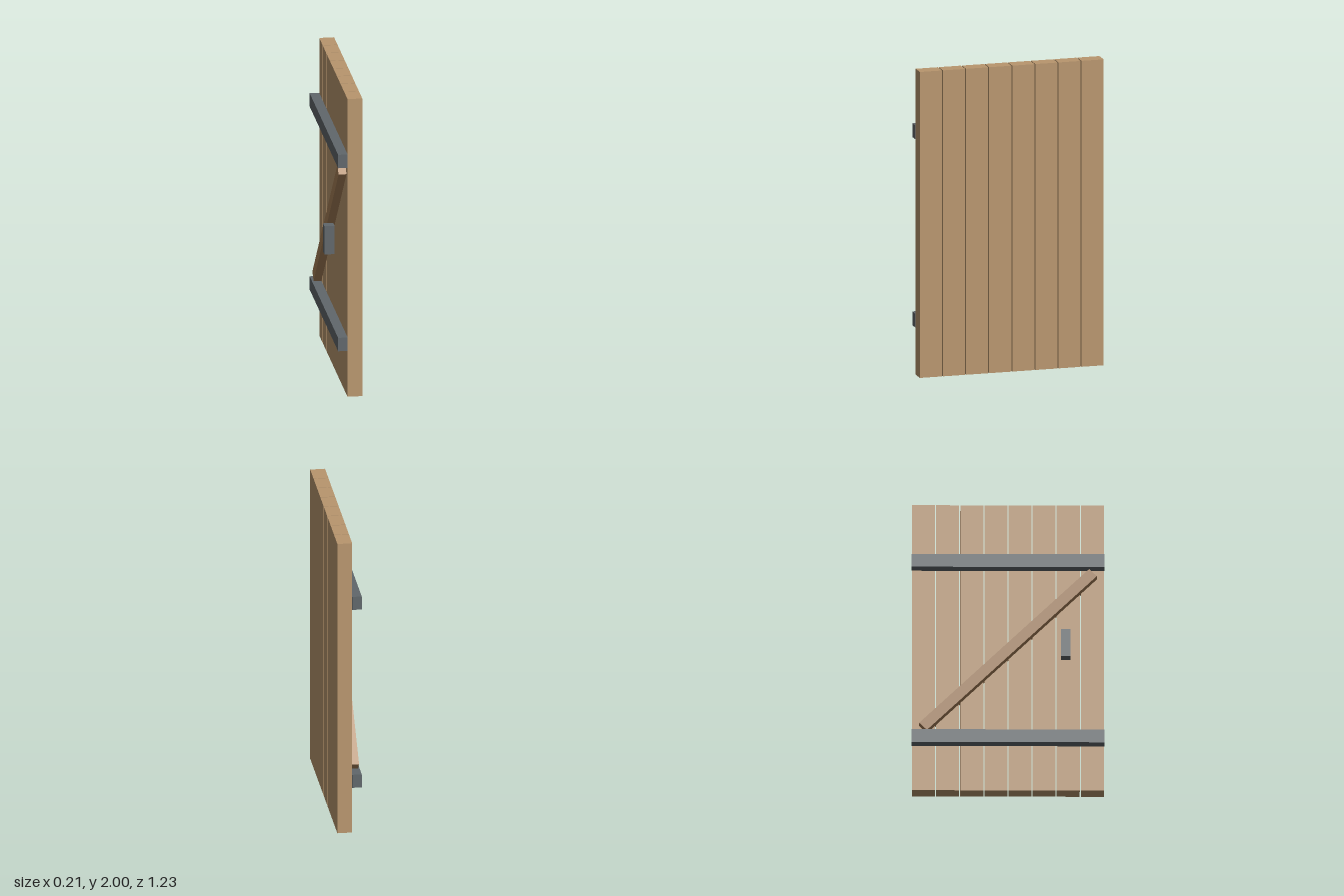
import * as THREE from 'three';

const wood = new THREE.MeshStandardMaterial({ color: 0xb8966e });
const braceWood = new THREE.MeshStandardMaterial({ color: 0xa67f57 });
const iron = new THREE.MeshStandardMaterial({ color: 0x60676b });

// Box given by its [min, max] range along each axis
function addBox(parent, name, material, [x0, x1], [y0, y1], [z0, z1]) {
  const mesh = new THREE.Mesh(new THREE.BoxGeometry(x1 - x0, y1 - y0, z1 - z0), material);
  mesh.position.set((x0 + x1) / 2, (y0 + y1) / 2, (z0 + z1) / 2);
  mesh.name = name;
  parent.add(mesh);
  return mesh;
}

export function createModel() {
  const door = new THREE.Group();
  door.name = 'plankDoor';

  // Eight upright planks with narrow gaps
  const planks = new THREE.Group();
  planks.name = 'planks';
  door.add(planks);
  const count = 8, pitch = 0.1533, halfWidth = 0.0733;
  for (let i = 0; i < count; i++) {
    const z = (i - (count - 1) / 2) * pitch;
    addBox(planks, `plank${i + 1}`, wood, [0.011, 0.106], [0, 2], [z - halfWidth, z + halfWidth]);
  }

  // Horizontal straps across the planks
  addBox(door, 'lowerStrap', iron, [-0.05, 0.011], [0.31, 0.4], [-0.614, 0.614]);
  addBox(door, 'upperStrap', iron, [-0.05, 0.011], [1.54, 1.63], [-0.614, 0.614]);

  // Diagonal brace between the straps, partly sunk into the planks
  const brace = addBox(door, 'brace', braceWood, [-0.04, 0.033], [0.93, 1.0], [-0.764, 0.764]);
  brace.rotation.x = -Math.PI / 4;

  // Handle block
  addBox(door, 'handle', iron, [-0.106, -0.04], [0.89, 1.08], [0.338, 0.398]);

  return door;
}
